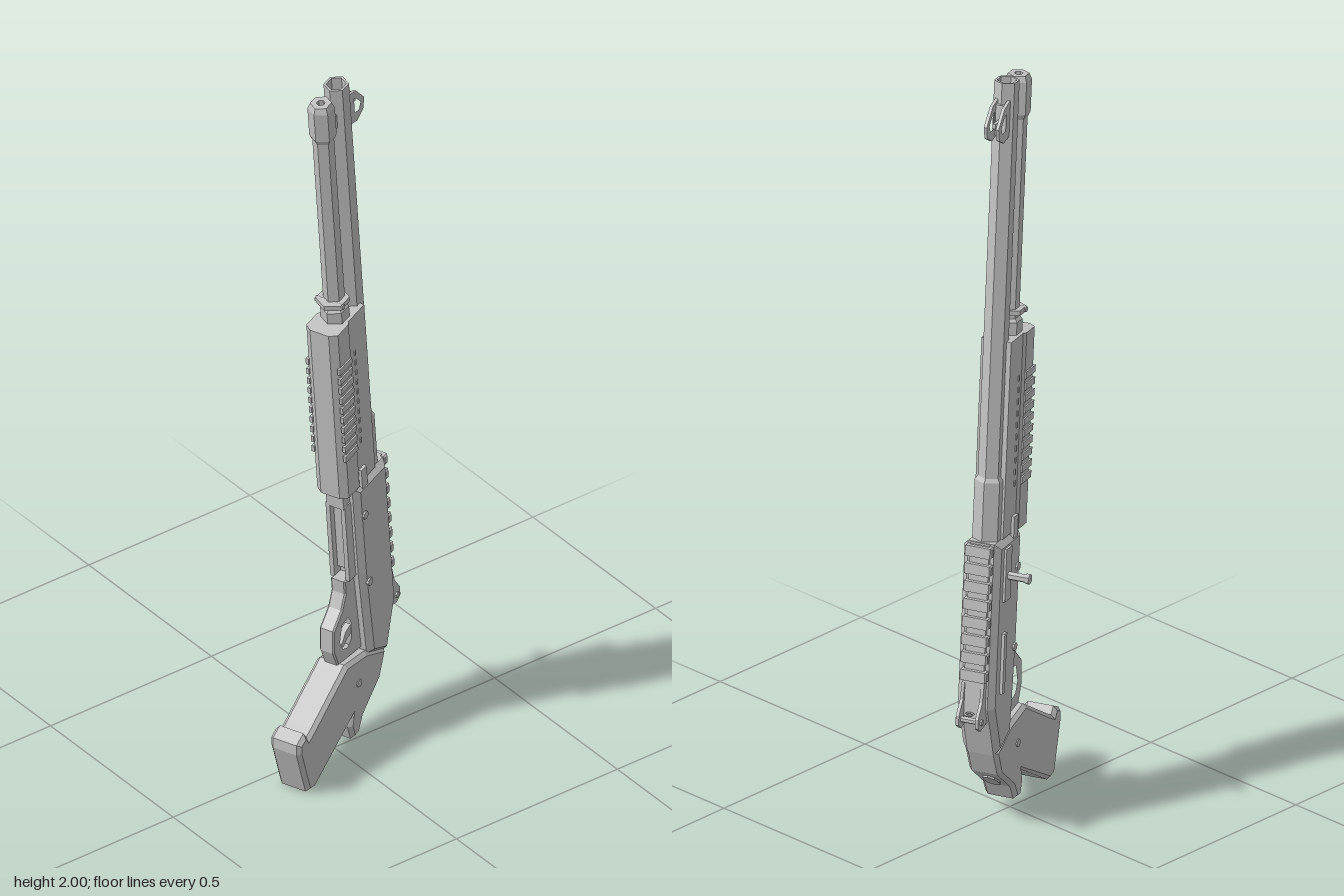
import * as THREE from 'three';

const steel = new THREE.MeshStandardMaterial({ color: 0xc2c2c2 });
steel.name = 'light grey steel';

// Adds a mesh with faceted normals
function part(parent, name, geometry, x = 0, y = 0, z = 0) {
  const flat = geometry.index ? geometry.toNonIndexed() : geometry;
  flat.computeVertexNormals();
  const mesh = new THREE.Mesh(flat, steel);
  mesh.name = name;
  mesh.position.set(x, y, z);
  parent.add(mesh);
  return mesh;
}

const vectors = (pts) => pts.map(([x, y]) => new THREE.Vector2(x, y));

// Side outline given thickness across z, with chamfered edges
function slab(parent, name, pts, half, bevel = 0, hole = null, z = 0) {
  const shape = new THREE.Shape(vectors(pts));
  if (hole) shape.holes.push(new THREE.Path(vectors(hole)));
  const depth = 2 * (half - bevel);
  const geo = new THREE.ExtrudeGeometry(shape, {
    depth, bevelEnabled: bevel > 0, bevelSegments: 1,
    bevelSize: bevel, bevelThickness: bevel, bevelOffset: -bevel,
  });
  geo.translate(0, 0, -depth / 2);
  return part(parent, name, geo, 0, 0, z);
}

// Cross-section in x and z, run along the barrel from y0 to y1
function run(parent, name, pts, y0, y1) {
  const geo = new THREE.ExtrudeGeometry(new THREE.Shape(vectors(pts)), { depth: y1 - y0, bevelEnabled: false });
  geo.rotateX(-Math.PI / 2);
  return part(parent, name, geo, 0, y0, 0);
}

const hexTube = (parent, name, profile, x) =>
  part(parent, name, new THREE.LatheGeometry(vectors(profile), 6, Math.PI / 6), x);

const box = (parent, name, w, h, d, x, y, z = 0) =>
  part(parent, name, new THREE.BoxGeometry(w, h, d), x, y, z);

function crossPin(parent, name, r, length, x, y, z = 0, sides = 6) {
  const geo = new THREE.CylinderGeometry(r, r, length, sides);
  geo.rotateX(Math.PI / 2);
  return part(parent, name, geo, x, y, z);
}

export function createModel() {
  const model = new THREE.Group();
  model.name = 'shotgun';
  const plane = new THREE.Group();
  plane.name = 'turnedBody';
  plane.rotation.y = 0.368;
  plane.position.set(0.0036, 0, 0.0093);
  model.add(plane);
  const gun = new THREE.Group();
  gun.name = 'barrelAssembly';
  gun.rotation.z = 0.1;
  plane.add(gun);

  // Barrel with a stepped breech and a recessed muzzle
  const barrelX = 0.194, tubeX = 0.12;
  hexTube(gun, 'barrel', [[0, 0.7], [0.039, 0.7], [0.039, 0.93], [0.0316, 0.94],
    [0.0316, 1.988], [0.025, 1.988], [0.025, 1.95], [0, 1.95]], barrelX);

  // Magazine tube, end cap and collars
  hexTube(gun, 'magazineTube', [[0, 0.75], [0.027, 0.75], [0.027, 1.88], [0, 1.88]], tubeX);
  hexTube(gun, 'magazineCap', [[0, 1.865], [0.027, 1.865], [0.034, 1.88], [0.034, 1.965],
    [0.027, 1.981], [0.011, 1.981], [0.011, 1.965], [0, 1.965]], tubeX);
  hexTube(gun, 'tubeCollar', [[0, 1.29], [0.036, 1.29], [0.036, 1.33], [0.028, 1.338], [0, 1.338]], tubeX);
  hexTube(gun, 'tubeRing', [[0, 1.348], [0.042, 1.348], [0.042, 1.362], [0, 1.362]], tubeX - 0.006);
  box(gun, 'barrelClamp', 0.06, 0.04, 0.024, 0.16, 1.89);
  crossPin(gun, 'slingStud', 0.008, 0.08, tubeX - 0.02, 1.355);

  // Front sight: two pierced wings around a post
  for (const s of [-1, 1]) {
    slab(gun, 'frontSightWing',
      [[0.21, 1.945], [0.25, 1.932], [0.284, 1.888], [0.276, 1.856], [0.246, 1.84], [0.21, 1.85]], 0.004, 0,
      [[0.238, 1.914], [0.25, 1.908], [0.266, 1.886], [0.258, 1.868], [0.238, 1.87]], s * 0.016);
  }
  box(gun, 'frontSightBase', 0.02, 0.08, 0.036, 0.22, 1.892);
  box(gun, 'frontSightPost', 0.045, 0.012, 0.008, 0.245, 1.888);

  // Pump grip: wide lower body with ribbed sides, narrower cheeks reaching the barrel
  run(gun, 'pumpGrip', [[0.044, -0.027], [0.058, -0.046], [0.108, -0.046], [0.116, -0.04], [0.192, -0.04],
    [0.192, 0.04], [0.116, 0.04], [0.108, 0.046], [0.058, 0.046], [0.044, 0.027]], 0.776, 1.297);
  for (const s of [-1, 1]) {
    box(gun, 'actionBar', 0.025, 0.2, 0.008, 0.13, 0.72, s * 0.044);
    for (let i = 0; i < 10; i++) {
      const y = 0.905 + i * 0.031;
      box(gun, 'pumpRib', 0.058, 0.018, 0.008, 0.079, y, s * 0.046);
      box(gun, 'pumpTick', 0.006, 0.014, 0.004, 0.135, y, s * 0.0405);
    }
  }

  // Receiver
  slab(gun, 'receiver', [[0.09, 0.775], [0.236, 0.775], [0.236, 0.335], [0.214, 0.28],
    [0.183, 0.198], [0.105, 0.24], [0.092, 0.5]], 0.05, 0.015);
  for (const s of [-1, 1]) box(gun, 'loadingPortRail', 0.035, 0.235, 0.012, 0.08, 0.615, s * 0.022);
  box(gun, 'shellLifter', 0.012, 0.2, 0.034, 0.086, 0.62);
  box(gun, 'liftTongue', 0.04, 0.06, 0.05, 0.082, 0.755);
  for (const y of [0.682, 0.469]) crossPin(gun, 'receiverPin', 0.011, 0.11, 0.116, y, 0, 8);

  // Ejection side: port cover, bolt slot and charging handle
  box(gun, 'ejectionCover', 0.036, 0.14, 0.01, 0.185, 0.685, -0.051);
  box(gun, 'sideRidge', 0.016, 0.16, 0.014, 0.19, 0.45, -0.051);
  crossPin(gun, 'chargingHandle', 0.011, 0.07, 0.182, 0.68, -0.073);
  crossPin(gun, 'chargingKnob', 0.014, 0.01, 0.182, 0.68, -0.108);

  // Accessory rail
  box(gun, 'railBase', 0.014, 0.36, 0.052, 0.239, 0.593);
  for (let i = 0; i < 8; i++) {
    const y = 0.427 + i * 0.047;
    slab(gun, 'railTooth', [[0.238, y - 0.014], [0.257, y - 0.014], [0.257, y + 0.014], [0.238, y + 0.014]], 0.037, 0.004);
  }

  // Rear sight: ears, cross screw and aperture
  box(gun, 'rearSightBase', 0.026, 0.11, 0.05, 0.236, 0.355);
  for (const s of [-1, 1]) {
    slab(gun, 'rearSightEar', [[0.215, 0.3], [0.262, 0.288], [0.28, 0.3], [0.28, 0.325],
      [0.258, 0.362], [0.25, 0.41], [0.225, 0.41]], 0.004, 0, null, s * 0.026);
  }
  crossPin(gun, 'rearSightScrew', 0.008, 0.07, 0.262, 0.312);
  const ring = new THREE.TorusGeometry(0.011, 0.003, 4, 6);
  ring.rotateX(Math.PI / 2);
  part(gun, 'rearAperture', ring, 0.268, 0.33);

  // Pistol grip with rear tang
  slab(plane, 'pistolGrip', [[0.163, 0.222], [0.136, 0.15], [0.056, 0.082], [0.036, 0.04],
    [0.006, 0.036], [-0.008, 0.078], [0.002, 0.108], [-0.175, -0.003], [-0.206, 0.002],
    [-0.249, 0.135], [-0.249, 0.164], [-0.216, 0.182], [-0.203, 0.163], [-0.182, 0.175],
    [-0.045, 0.262], [-0.025, 0.275], [0.07, 0.262]], 0.044, 0.01);
  crossPin(plane, 'gripPin', 0.011, 0.094, 0.03, 0.193, 0, 8);
  const tang = part(plane, 'slingPlate', new THREE.CylinderGeometry(0.022, 0.022, 0.008, 8), 0.09, 0.11);
  tang.scale.x = 1.6;
  tang.rotation.z = -2.44;

  // Trigger guard and trigger
  slab(plane, 'triggerGuard', [[0, 0.504], [0.05, 0.504], [0.09, 0.4], [0.09, 0.262], [-0.03, 0.27],
    [-0.051, 0.318], [-0.051, 0.384], [-0.012, 0.425], [0.004, 0.465]], 0.021, 0.004,
  [[-0.016, 0.386], [0.018, 0.394], [0.036, 0.365], [0.034, 0.315], [0.014, 0.296], [-0.012, 0.306], [-0.026, 0.335]]);
  slab(plane, 'trigger', [[0.05, 0.345], [0.026, 0.335], [0.012, 0.314], [-0.008, 0.302],
    [0.016, 0.296], [0.034, 0.312], [0.05, 0.318]], 0.008);

  return model;
}
